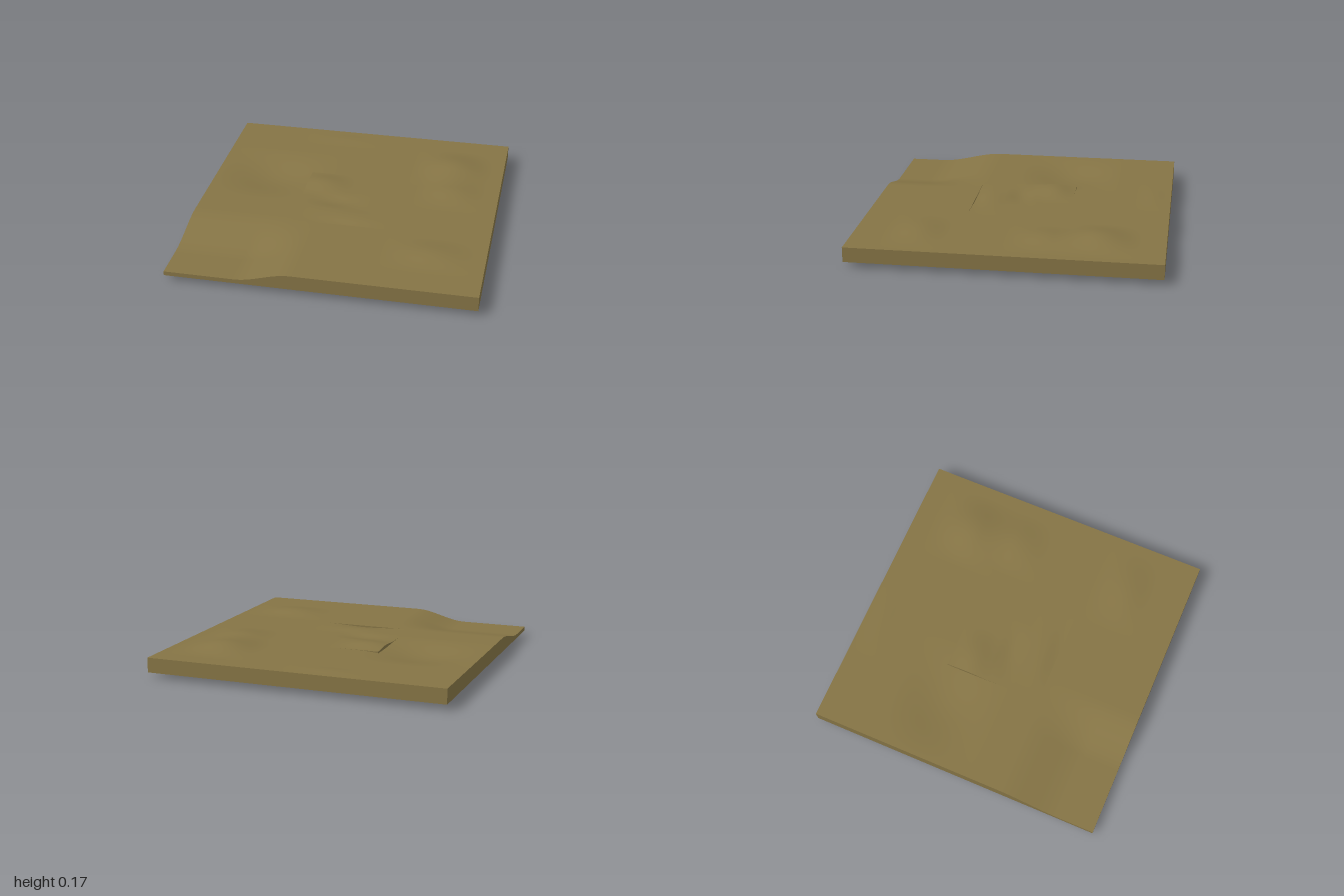
import * as THREE from 'three';

const TOP = 0.135, BASE = 0.037, TILE = 2 / 3, SEG = 28;

// Smooth cosine mound: centre, half-widths, height
const mound = (x, z, [cx, cz, rx, rz, h]) => {
  const u = Math.min(1, Math.abs(x - cx) / rx), v = Math.min(1, Math.abs(z - cz) / rz);
  return h * 0.25 * (1 + Math.cos(Math.PI * u)) * (1 + Math.cos(Math.PI * v));
};
const sum = (list, x, z) => list.reduce((s, m) => s + mound(x, z, m), 0);

// Mounds and hollows of the surrounding ground
const OUTER = [
  [0.65, -0.57, 0.29, 0.29, 0.037],
  [0.68, -0.25, 0.25, 0.26, 0.022],
  [0.65, 0.58, 0.32, 0.21, 0.02],
  [-0.6, -0.25, 0.42, 0.37, -0.037],
  [-0.2, -0.88, 0.3, 0.11, 0.005],
];
// Mounds and hollows of the middle patch
const INNER = [
  [-0.22, -0.19, 0.24, 0.17, 0.021],
  [-0.1, 0.03, 0.24, 0.11, -0.012],
  [0.02, 0.2, 0.3, 0.11, 0.006],
  [0, 0.36, 0.3, 0.12, -0.012],
];

// Low corner at the front, cut into the top only
const corner = (x, z) =>
  0.07 * (1 - THREE.MathUtils.smoothstep(x, -0.54, -0.18)) * THREE.MathUtils.smoothstep(z, 0.32, 0.76);

// One square of ground, with normals taken from the height rule
function groundTile(ix, iz, material) {
  const middle = ix === 0 && iz === 0;
  const top = middle
    ? (x, z) => TOP + sum(INNER, x, z)
    : (x, z) => TOP + sum(OUTER, x, z) - corner(x, z);
  const bottom = middle ? () => BASE + 0.018 : (x, z) => BASE + sum(OUTER, x, z);

  const geo = new THREE.BoxGeometry(TILE, 1, TILE, SEG, 1, SEG);
  geo.translate(ix * TILE, 0, iz * TILE);
  const p = geo.attributes.position, n = geo.attributes.normal, e = 0.002;
  const normal = new THREE.Vector3();
  for (let i = 0; i < p.count; i++) {
    const x = p.getX(i), z = p.getZ(i);
    const f = p.getY(i) > 0 ? top : bottom;
    p.setY(i, f(x, z));
    const side = n.getY(i);
    if (Math.abs(side) > 0.5) {
      normal.set(f(x - e, z) - f(x + e, z), 2 * e, f(x, z - e) - f(x, z + e));
      normal.normalize().multiplyScalar(Math.sign(side));
      n.setXYZ(i, normal.x, normal.y, normal.z);
    }
  }
  const mesh = new THREE.Mesh(geo, material);
  mesh.name = middle ? 'middlePatch' : 'groundTile';
  return mesh;
}

export function createModel() {
  const group = new THREE.Group();
  group.name = 'groundSlab';
  const earth = new THREE.MeshStandardMaterial({ color: 0x857445 });
  for (let ix = -1; ix <= 1; ix++)
    for (let iz = -1; iz <= 1; iz++) group.add(groundTile(ix, iz, earth));
  return group;
}
